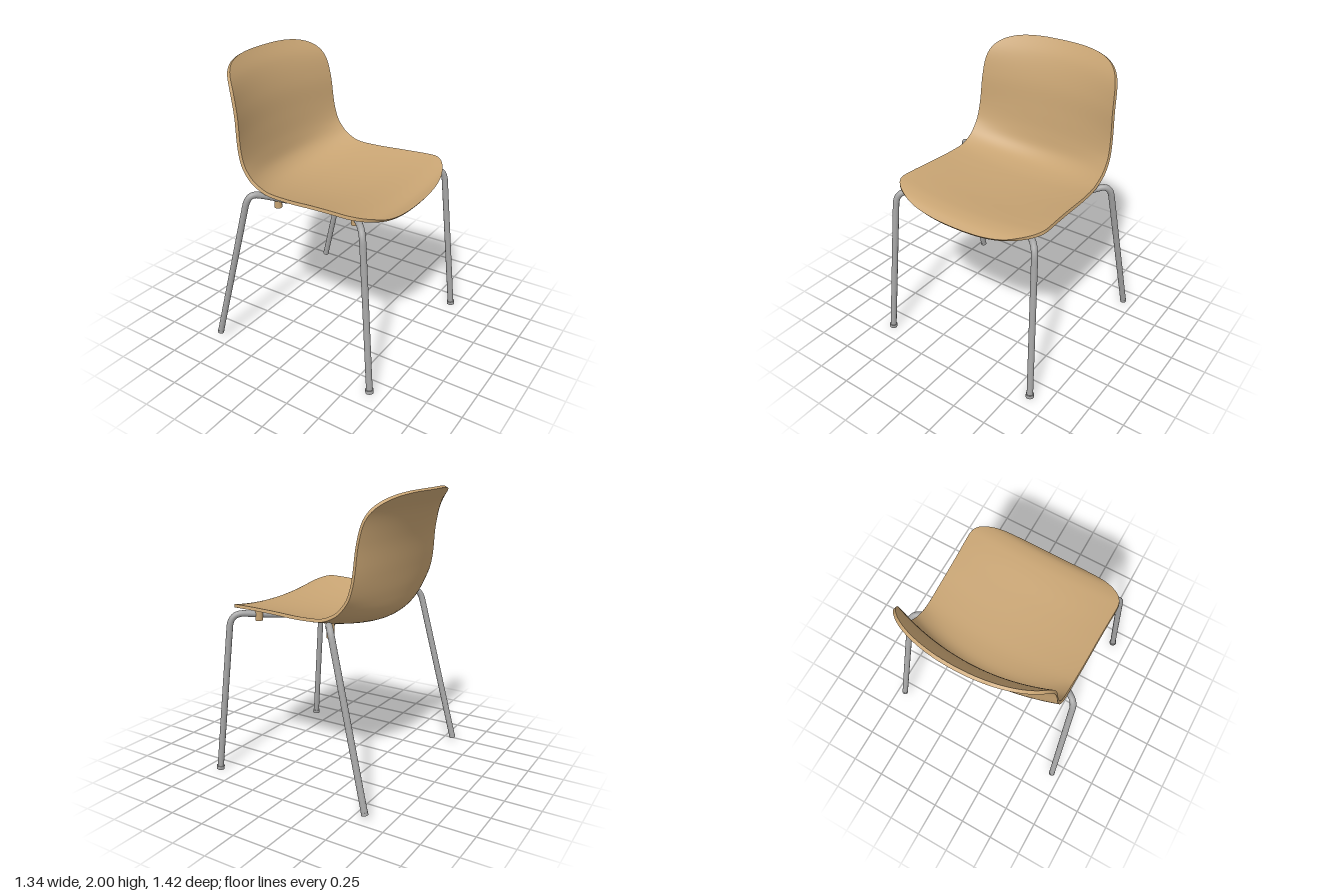
import * as THREE from 'three';
import { toCreasedNormals } from 'three/addons/utils/BufferGeometryUtils.js';

const V = (x, y, z) => new THREE.Vector3(x, y, z);
const curve = (rows) => new THREE.CatmullRomCurve3(rows.map((r) => V(...r)));

// Underside centre line of the shell, from backrest top to seat front: x, y, half width
const spine = curve([
  [-0.67, 1.99, 0.53], [-0.60, 1.87, 0.535], [-0.545, 1.7, 0.545], [-0.515, 1.5, 0.556],
  [-0.49, 1.33, 0.565], [-0.455, 1.21, 0.57], [-0.38, 1.14, 0.57], [-0.25, 1.108, 0.57],
  [-0.05, 1.105, 0.575], [0.2, 1.12, 0.58], [0.4, 1.14, 0.587], [0.5, 1.143, 0.588],
  [0.565, 1.13, 0.588], [0.605, 1.1, 0.585],
]);
// How far the side edges curl away from the centre line at the same stations
const curl = curve([
  [0.12, 0, 0], [0.125, 0, 0], [0.11, 0, 0], [0.095, 0, 0],
  [0.1, 0.03, 0], [0.12, 0.07, 0], [0.11, 0.09, 0], [0.06, 0.09, 0],
  [0.02, 0.085, 0], [0, 0.08, 0], [0, 0.065, 0], [0, 0.06, 0],
  [0, 0.055, 0], [0, 0.05, 0],
]);

// Point of the shell underside at station t and sideways position z
function shellPoint(t, z) {
  const c = spine.getPoint(t), k = (z / 0.58) ** 2;
  const l = curl.getPoint(t);
  return V(c.x + l.x * k, c.y + l.y * k, z);
}

function shellGeometry(rows = 90, cols = 40, thickness = 0.022) {
  // Distance along the centre line, used to round the outline at both ends
  const ts = [], dist = [];
  for (let i = 0; i <= rows; i++) {
    ts.push((1 - Math.cos((Math.PI * i) / rows)) / 2);
    const step = i ? shellPoint(ts[i], 0).distanceTo(shellPoint(ts[i - 1], 0)) : 0;
    dist.push(i ? dist[i - 1] + step : 0);
  }
  const round = (d, r, n) => (d >= r ? 1 : (1 - (1 - d / r) ** n) ** (1 / n));

  const pos = [], index = [], ring = 2 * (cols + 1), e = 1e-3;
  ts.forEach((t, i) => {
    const w = spine.getPoint(t).z * round(dist[i], 0.3, 3.5) * round(dist[rows] - dist[i], 0.2, 2.5);
    const top = [], under = [];
    for (let j = 0; j <= cols; j++) {
      const z = w * Math.sin((j / cols - 0.5) * Math.PI);
      const p = shellPoint(t, z);
      const along = shellPoint(Math.min(t + e, 1), z).sub(shellPoint(Math.max(t - e, 0), z));
      const across = shellPoint(t, z + e).sub(shellPoint(t, z - e));
      const n = across.cross(along).normalize();
      under.unshift(p);
      top.push(p.clone().addScaledVector(n, thickness));
    }
    [...top, ...under].forEach((p) => pos.push(p.x, p.y, p.z));
    if (i === rows) return;
    for (let j = 0; j < ring; j++) {
      const a = i * ring + j, b = i * ring + ((j + 1) % ring);
      index.push(a, b, a + ring, b, b + ring, a + ring);
    }
  });
  const geo = new THREE.BufferGeometry();
  geo.setAttribute('position', new THREE.Float32BufferAttribute(pos, 3));
  geo.setIndex(index);
  return toCreasedNormals(geo, 0.8);
}

// Polyline with rounded corners
function bentPath(pts, radius) {
  const path = new THREE.CurvePath();
  let from = pts[0];
  for (let i = 1; i < pts.length - 1; i++) {
    const p = pts[i];
    const cut = (q) => p.clone().add(q.clone().sub(p).setLength(Math.min(radius, p.distanceTo(q) * 0.49)));
    const a = cut(pts[i - 1]), b = cut(pts[i + 1]);
    path.add(new THREE.LineCurve3(from, a));
    path.add(new THREE.QuadraticBezierCurve3(a, p, b));
    from = b;
  }
  path.add(new THREE.LineCurve3(from, pts[pts.length - 1]));
  return path;
}

export function createModel() {
  const model = new THREE.Group();
  const wood = new THREE.MeshStandardMaterial({ color: 0xc8a473 });
  const steel = new THREE.MeshStandardMaterial({ color: 0xa6a6a6 });
  const add = (name, geo, mat) => {
    const mesh = new THREE.Mesh(geo, mat);
    mesh.name = name;
    model.add(mesh);
    return mesh;
  };

  add('seatShell', shellGeometry(), wood);

  // Each leg pair is one bent tube: foot, bend, under-seat bar, apex, then mirrored
  const legPairs = [
    {
      name: 'frontLegs', footRadius: 0.028, footLength: 0.025,
      half: [V(0.643, 0.015, 0.62), V(0.535, 1.158, 0.565), V(0.4, 1.135, 0.42), V(0.09, 1.078, 0)],
    },
    {
      name: 'backLegs', footRadius: 0.023, footLength: 0.02,
      half: [V(-0.585, 0.045, 0.685), V(-0.295, 1.205, 0.63), V(-0.22, 1.165, 0.52),
        V(-0.13, 1.085, 0.37), V(0.06, 1.078, 0)],
    },
  ];
  for (const { name, half, footRadius, footLength } of legPairs) {
    const mirrored = half.slice(0, -1).reverse().map((p) => V(p.x, p.y, -p.z));
    const path = bentPath([...half, ...mirrored], 0.1);
    add(name, new THREE.TubeGeometry(path, 240, 0.022, 16), steel);
    // Foot caps in line with the legs
    for (const s of [1, -1]) {
      const foot = V(half[0].x, half[0].y, s * half[0].z);
      const dir = V(half[1].x, half[1].y, s * half[1].z).sub(foot).normalize();
      const cap = add(name + 'FootCap', new THREE.CylinderGeometry(footRadius, footRadius, footLength, 16), steel);
      cap.position.copy(foot);
      cap.quaternion.setFromUnitVectors(V(0, 1, 0), dir);
    }
  }

  // Mounts that hold the bars against the underside of the seat
  for (const [x, low, high, z] of [[0.4, 1.095, 1.19, 0.43], [-0.19, 1.065, 1.17, 0.45]]) {
    for (const s of [1, -1]) {
      const mount = add('seatMount', new THREE.CylinderGeometry(0.026, 0.026, high - low, 16), wood);
      mount.position.set(x, (low + high) / 2, s * z);
    }
  }
  return model;
}
